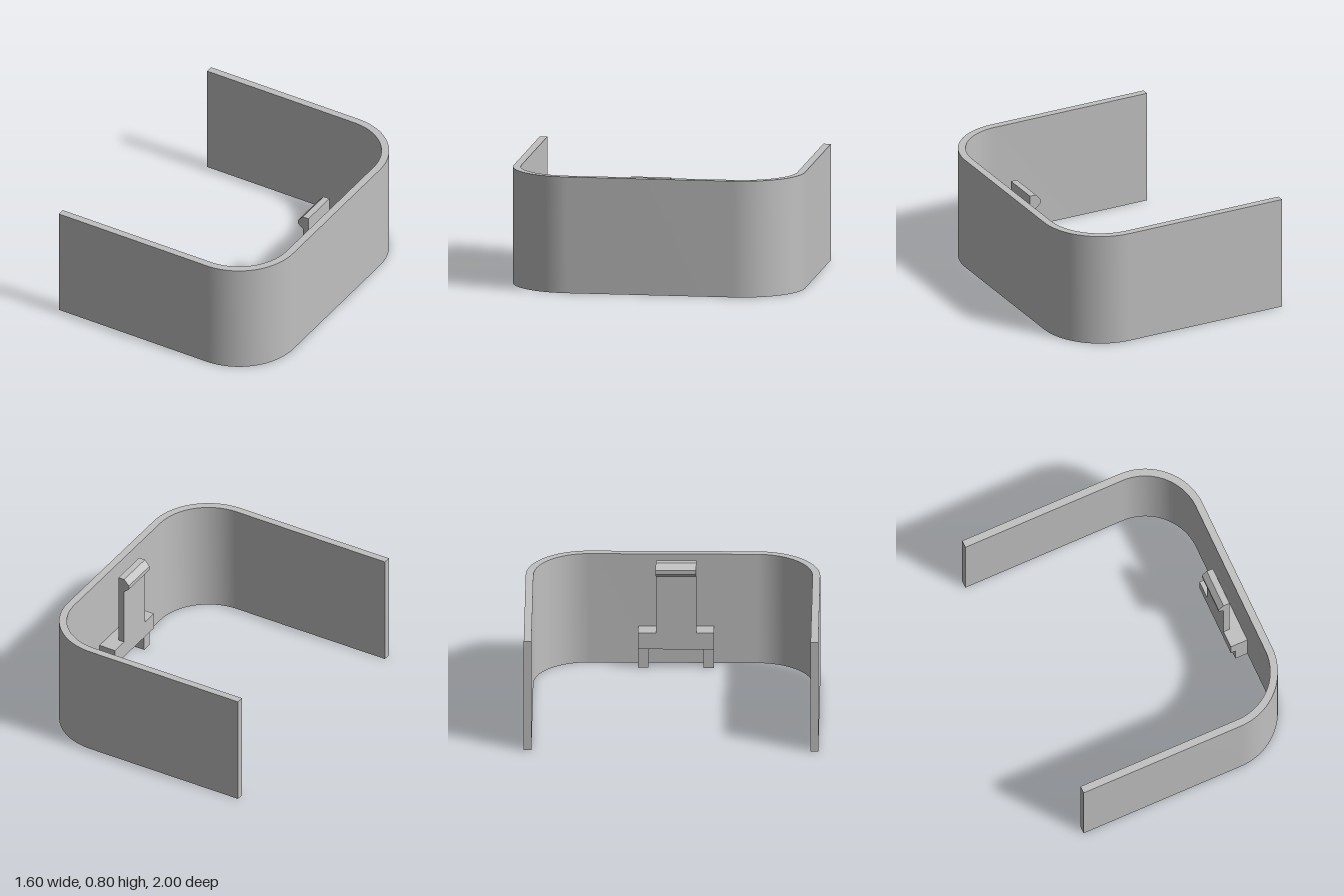
import * as THREE from 'three';
import { toCreasedNormals } from 'three/addons/utils/BufferGeometryUtils.js';

export function createModel() {
  const model = new THREE.Group();
  model.name = 'bracketWithLatch';
  const grey = new THREE.MeshStandardMaterial({ color: 0xc0c0c0 });
  grey.name = 'grey';

  const add = (name, geometry, parent = model) => {
    const mesh = new THREE.Mesh(geometry, grey);
    mesh.name = name;
    parent.add(mesh);
    return mesh;
  };
  // box given by its limits on each axis
  const box = (name, [x0, x1], [y0, y1], [z0, z1], parent) =>
    add(name, new THREE.BoxGeometry(x1 - x0, y1 - y0, z1 - z0), parent)
      .position.set((x0 + x1) / 2, (y0 + y1) / 2, (z0 + z1) / 2);

  // U-shaped band with rounded corners, open towards -x
  const end = -0.8, side = 0.8, half = 1, thick = 0.052, radius = 0.43, height = 0.8;
  const cx = side - radius, cz = half - radius, inner = radius - thick;
  const plan = new THREE.Shape();
  plan.moveTo(end, -half);
  plan.lineTo(cx, -half);
  plan.absarc(cx, -cz, radius, -Math.PI / 2, 0, false);
  plan.lineTo(side, cz);
  plan.absarc(cx, cz, radius, 0, Math.PI / 2, false);
  plan.lineTo(end, half);
  plan.lineTo(end, half - thick);
  plan.lineTo(cx, half - thick);
  plan.absarc(cx, cz, inner, Math.PI / 2, 0, true);
  plan.lineTo(side - thick, -cz);
  plan.absarc(cx, -cz, inner, 0, -Math.PI / 2, true);
  plan.lineTo(end, -half + thick);
  plan.closePath();
  const band = new THREE.ExtrudeGeometry(plan, { depth: height, bevelEnabled: false, curveSegments: 24 });
  band.rotateX(-Math.PI / 2);
  add('band', toCreasedNormals(band, 0.5));

  // latch on the inside of the closed wall
  const latch = new THREE.Group();
  latch.name = 'latch';
  model.add(latch);
  const wall = side - thick;
  box('latchBlock', [0.625, wall], [0.15, 0.27], [-0.24, 0.275], latch);
  for (const z of [-0.24, 0.205])
    box('latchLeg', [0.66, wall], [0, 0.15], [z, z + 0.07], latch);

  // upright tongue ending in a chamfered hook
  const profile = [[0.67, 0.27], [0.67, 0.785], [0.625, 0.785], [0.588, 0.745],
    [0.588, 0.715], [0.625, 0.685], [0.625, 0.27]];
  const hook = new THREE.ExtrudeGeometry(
    new THREE.Shape(profile.map(([x, y]) => new THREE.Vector2(x, y))),
    { depth: 0.275, bevelEnabled: false });
  hook.translate(0, 0, -0.12);
  add('latchHook', hook, latch);

  return model;
}
